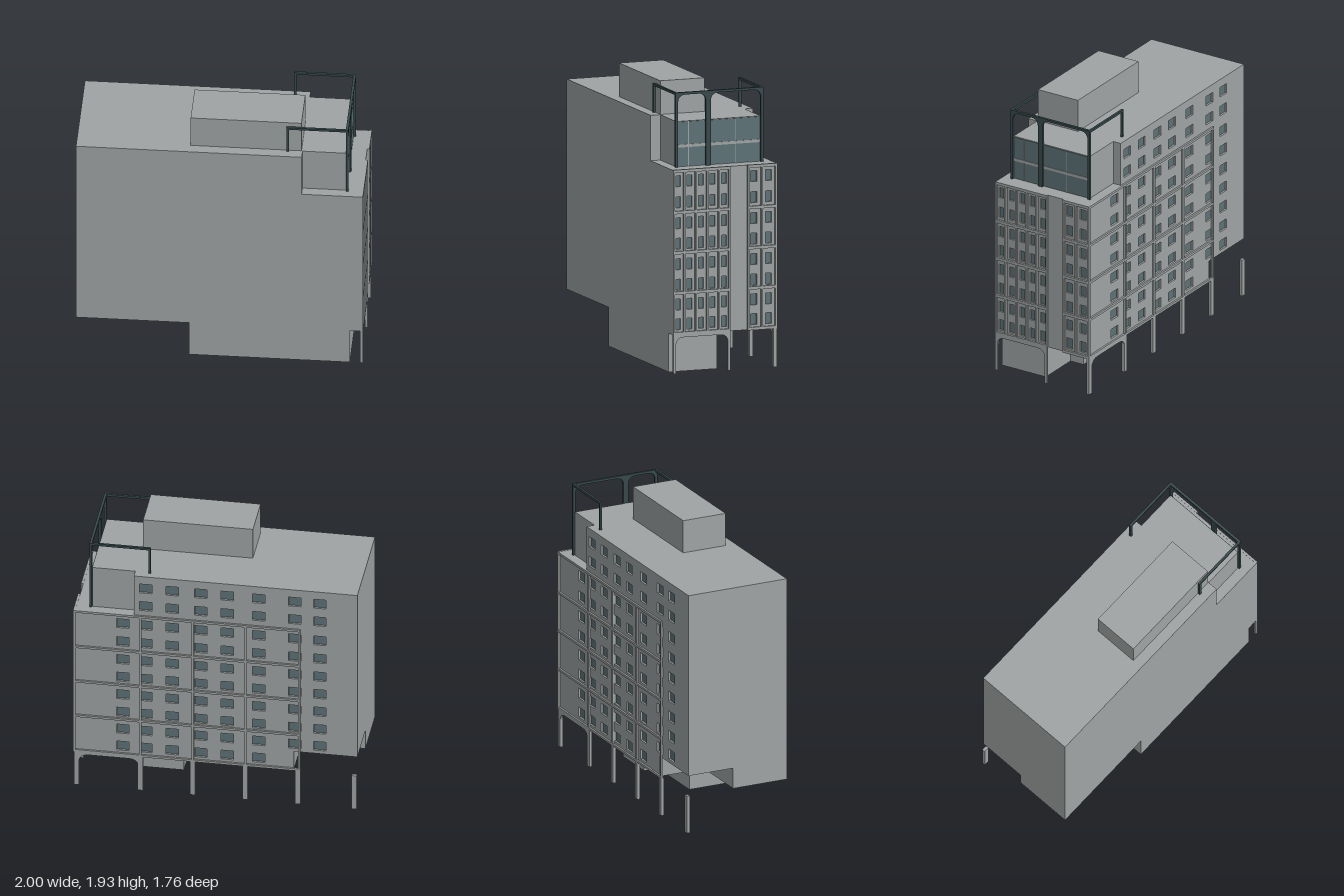
import * as THREE from 'three';

const concrete = new THREE.MeshStandardMaterial({ color: 0xa0a4a4 });
concrete.name = 'grey concrete';
const glass = new THREE.MeshStandardMaterial({ color: 0x5d7277 });
glass.name = 'teal glass';
const steel = new THREE.MeshStandardMaterial({ color: 0x37494b });
steel.name = 'dark steel';

// Local axes: x runs along the block to the short street end, z to the blind side
export function createModel() {
  const model = new THREE.Group();
  model.name = 'officeTower';
  const tower = new THREE.Group();
  tower.name = 'tower';
  tower.rotation.y = -Math.atan2(0.6, 0.8);
  model.add(tower);

  const box = (name, mat, x0, x1, y0, y1, z0, z1) => {
    const m = new THREE.Mesh(new THREE.BoxGeometry(x1 - x0, y1 - y0, z1 - z0), mat);
    m.position.set((x0 + x1) / 2, (y0 + y1) / 2, (z0 + z1) / 2);
    m.name = name;
    tower.add(m);
    return m;
  };
  const outline = (pts) => new THREE.Shape(pts.map(([a, b]) => new THREE.Vector2(a, b)));
  const slab = (name, mat, shape, depth) => {
    const m = new THREE.Mesh(
      new THREE.ExtrudeGeometry(shape, { depth, bevelEnabled: false, curveSegments: 6 }), mat);
    m.name = name;
    tower.add(m);
    return m;
  };
  const cutWindow = (shape, a, y, w, h) => {
    const p = new THREE.Path();
    p.moveTo(a - w / 2, y - h / 2);
    p.lineTo(a + w / 2, y - h / 2);
    p.lineTo(a + w / 2, y + h / 2);
    p.lineTo(a - w / 2, y + h / 2);
    p.closePath();
    shape.holes.push(p);
  };
  // Portal frame with rounded inner corners
  const portal = (w, h, leg, beam, r) => {
    const s = new THREE.Shape();
    s.moveTo(0, 0);
    s.lineTo(0, h);
    s.lineTo(w, h);
    s.lineTo(w, 0);
    s.lineTo(w - leg, 0);
    s.lineTo(w - leg, h - beam - r);
    s.quadraticCurveTo(w - leg, h - beam, w - leg - r, h - beam);
    s.lineTo(leg + r, h - beam);
    s.quadraticCurveTo(leg, h - beam, leg, h - beam - r);
    s.lineTo(leg, 0);
    s.closePath();
    return s;
  };
  // Portal on the short end, spanning z0 to z1
  const endPortal = (name, mat, z0, z1, x, y, h, leg, beam, r, d) => {
    const m = slab(name, mat, portal(z1 - z0, h, leg, beam, r), d);
    m.rotation.y = Math.PI / 2;
    m.position.set(x, y, z1);
  };

  // Main body: full profile on the blind side, notched below on the window side
  const profile = (xEnd, notched) => outline([
    ...(notched ? [[-0.968, 0.41], [-0.535, 0.41], [-0.535, 0.265]] : [[-0.968, 0.265]]),
    [xEnd, 0.265], [xEnd, 1.39], [0.555, 1.39], [0.555, 1.7], [-0.968, 1.7]]);
  slab('mainBody', concrete, profile(0.935, false), 0.405).position.z = -0.03;
  slab('notchedBody', concrete, profile(0.935, true), 0.315).position.z = -0.345;

  // Long wall with recessed windows
  const rows = [0.335, 0.47, 0.605, 0.745, 0.885, 1.025, 1.168, 1.312, 1.465, 1.605];
  const columns = [0.63, 0.475, 0.295, 0.1, -0.08, -0.295, -0.541, -0.712];
  const longWall = profile(0.953, true);
  for (const y of rows) {
    columns.forEach((x, i) => {
      if ((i === 0 && y > 1.4) || (i > 5 && y < 0.4)) return;
      cutWindow(longWall, x, y, 0.085, 0.07);
      box('sideWindow', glass, x - 0.043, x + 0.043, y - 0.036, y + 0.036, -0.351, -0.344);
    });
  }
  slab('longWall', concrete, longWall, 0.02).position.z = -0.365;

  // Short end wall with narrow windows
  const endWall = outline([[-0.375, 0.265], [0.345, 0.265], [0.345, 1.39], [-0.375, 1.39]]);
  const bay = 0.083;
  const endColumns = [0, 1, 2, 3, 4].map((i) => [0.375 - bay * (i + 0.5), 0.036]);
  endColumns.push([-0.212, 0.046], [-0.32, 0.046]);
  for (const y of rows.slice(0, 8)) {
    for (const [z, w] of endColumns) {
      cutWindow(endWall, -z, y, w, 0.075);
      box('endWindow', glass, 0.934, 0.941, y - 0.038, y + 0.038, z - w / 2 - 0.001, z + w / 2 + 0.001);
    }
  }
  const endPanel = slab('endWall', concrete, endWall, 0.018);
  endPanel.rotation.y = Math.PI / 2;
  endPanel.position.x = 0.935;

  // Projecting facade grid
  for (const y of [0.273, 0.55, 0.825, 1.1, 1.382]) {
    box('sideLedge', concrete, -0.58, 0.968, y - 0.008, y + 0.008, -0.378, -0.364);
    box('endLedge', concrete, 0.952, 0.968, y - 0.01, y + 0.01, -0.04, 0.375);
    box('endLedge', concrete, 0.952, 0.968, y - 0.01, y + 0.01, -0.378, -0.165);
  }
  for (const x of [0.96, 0.51, 0.153, -0.205, -0.572]) {
    box('sideFin', concrete, x - 0.008, x + 0.008, 0.265, 1.39, -0.378, -0.364);
  }
  for (const z of [0.369, 0.292, 0.209, 0.126, 0.043, -0.034, -0.171, -0.268, -0.37]) {
    box('endFin', concrete, 0.952, 0.968, 0.265, 1.39, z - 0.006, z + 0.006);
  }

  // Ground floor rooms
  box('groundFloor', concrete, -0.206, 0.88, 0, 0.265, 0.025, 0.375);
  box('entranceRoom', concrete, 0.26, 0.575, 0, 0.265, -0.08, 0.03);

  // Ground columns and arches
  for (const x of [0.945, 0.51, 0.153, -0.205, -0.563, -0.947]) {
    box('groundColumn', concrete, x - 0.0175, x + 0.0175, 0, 0.265, -0.376, -0.354);
  }
  const sideArch = slab('sideArch', concrete, portal(0.45, 0.265, 0.02, 0.02, 0.07), 0.016);
  sideArch.position.set(0.5, 0, -0.376);
  endPortal('endArch', concrete, -0.04, 0.375, 0.95, 0, 0.265, 0.018, 0.018, 0.06, 0.018);

  // Roof plant room and penthouse
  box('plantRoom', concrete, -0.2, 0.548, 1.7, 1.93, -0.018, 0.302);
  box('penthouse', concrete, 0.555, 0.845, 1.39, 1.7, -0.305, 0.305);
  box('penthouseGlazing', glass, 0.844, 0.85, 1.392, 1.696, -0.3, 0.3);
  box('glazingBand', concrete, 0.849, 0.853, 1.522, 1.542, -0.3, 0.3);
  for (const z of [-0.12, 0.1, 0.22]) {
    box('mullion', concrete, 0.849, 0.852, 1.392, 1.696, z - 0.003, z + 0.003);
  }

  // Steel roof frame
  endPortal('roofPortal', steel, 0.08, 0.318, 0.848, 1.39, 0.51, 0.018, 0.016, 0.055, 0.018);
  endPortal('roofPortal', steel, -0.318, 0.08, 0.848, 1.39, 0.51, 0.018, 0.016, 0.055, 0.018);
  for (const z of [-0.311, 0.311]) {
    box('roofRail', steel, 0.448, 0.856, 1.884, 1.9, z - 0.008, z + 0.008);
    box('roofPost', steel, 0.448, 0.464, 1.7, 1.9, z - 0.008, z + 0.008);
  }
  return model;
}
